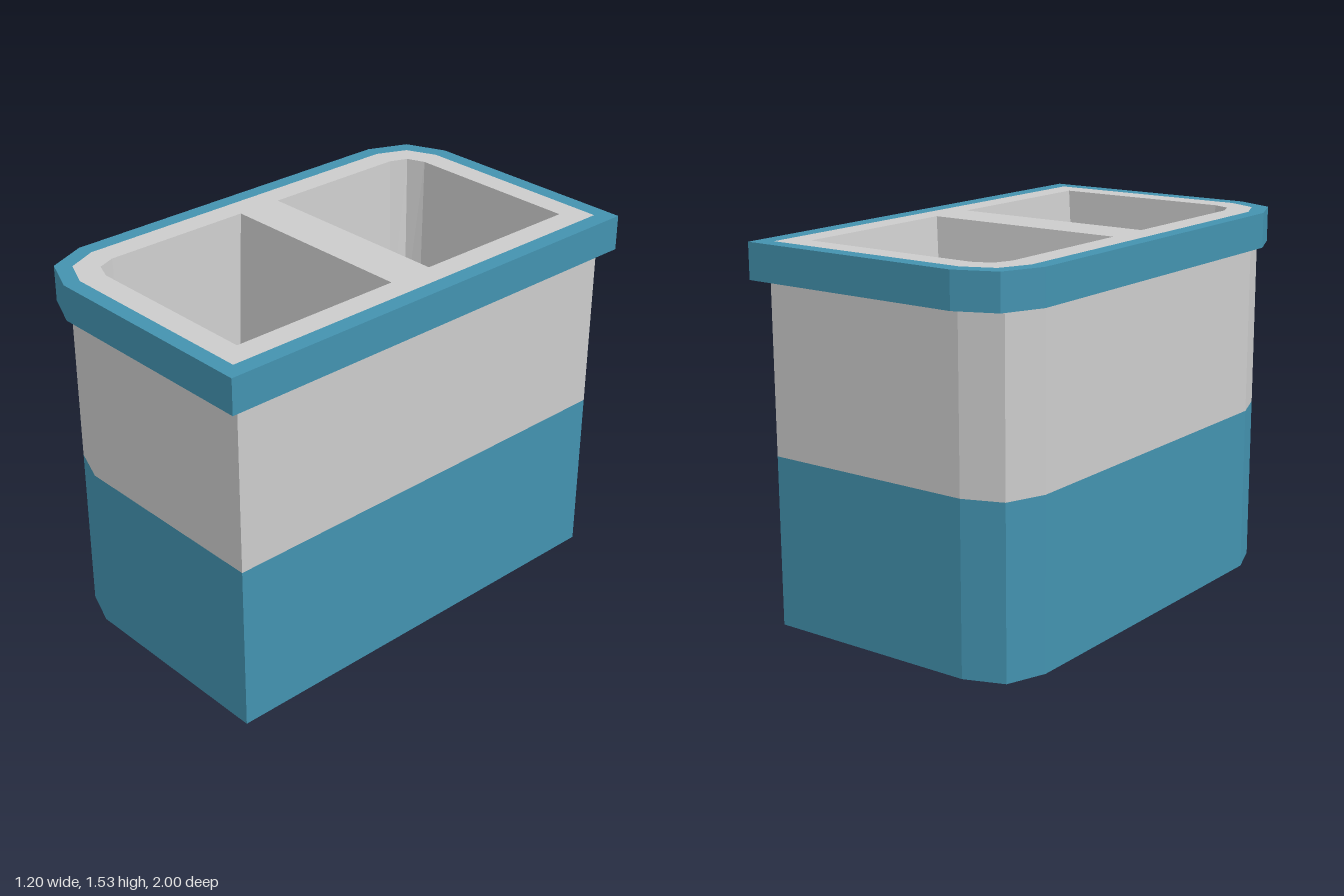
import * as THREE from 'three';

const grey = new THREE.MeshStandardMaterial({ color: 0xcccccc, flatShading: true });
const blue = new THREE.MeshStandardMaterial({ color: 0x4392af, flatShading: true });
const brown = new THREE.MeshStandardMaterial({ color: 0x5d544b, flatShading: true });

// Counter-clockwise (from above) outline, with the -x corners cut in two facets.
// a = where the cut starts along each side, b = inset of its middle point.
function outline(x0, x1, z0, z1, a, b, cutBack = true, cutFront = true) {
  const back = [[x0 + a, z0], [x0 + b, z0 + b], [x0, z0 + a]];
  const front = [[x0, z1 - a], [x0 + b, z1 - b], [x0 + a, z1]];
  return [
    [x1, z1], [x1, z0],
    ...(cutBack ? back : [[x0, z0]]),
    ...(cutFront ? front : [[x0, z1]]),
  ];
}

// Band of flat quads from loop p at height yp to loop q at height yq.
function band(p, yp, q, yq) {
  const pos = [];
  p.forEach((_, i) => {
    const j = (i + 1) % p.length;
    const A = [p[i][0], yp, p[i][1]], B = [p[j][0], yp, p[j][1]];
    const C = [q[j][0], yq, q[j][1]], D = [q[i][0], yq, q[i][1]];
    pos.push(...A, ...B, ...C, ...A, ...C, ...D);
  });
  const g = new THREE.BufferGeometry();
  g.setAttribute('position', new THREE.Float32BufferAttribute(pos, 3));
  g.computeVertexNormals();
  return g;
}

// Horizontal face, optionally with holes, facing up or down.
function plate(loop, y, holes = [], down = false) {
  const s = down ? 1 : -1;
  const toVec = (l) => l.map(([x, z]) => new THREE.Vector2(x, s * z));
  const shape = new THREE.Shape(toVec(loop));
  shape.holes = holes.map((h) => new THREE.Path(toVec(h)));
  return new THREE.ShapeGeometry(shape).rotateX(-s * -Math.PI / 2).translate(0, y, 0);
}

export function createModel() {
  const group = new THREE.Group();
  const add = (name, geometry, material) => {
    const mesh = new THREE.Mesh(geometry, material);
    mesh.name = name;
    group.add(mesh);
  };

  const midY = 0.695, lidY = 1.39, topY = 1.535, floorY = 0.83;
  const body = outline(-0.57, 0.55, -0.94, 0.94, 0.22, 0.06);
  const lid = outline(-0.6, 0.6, -1, 1, 0.235, 0.07);
  const inner = outline(-0.535, 0.53, -0.935, 0.935, 0.18, 0.055);

  // Body: coloured lower half, grey upper half
  add('base', plate(body, 0, [], true), blue);
  add('lowerBody', band(body, 0, body, midY), blue);
  add('upperBody', band(body, midY, body, lidY), grey);

  // Overhanging rim
  add('rimUnderside', band(body, lidY, lid, lidY), grey);
  add('rimSide', band(lid, lidY, lid, topY), blue);
  add('rimTop', band(lid, topY, inner, topY), blue);

  // Two tapered wells, each with cut corners at its outer end
  const wells = [
    {
      name: 'backWell',
      top: outline(-0.435, 0.43, -0.84, -0.1, 0.105, 0.03, true, false),
      floor: outline(-0.385, 0.34, -0.795, -0.18, 0.09, 0.022, true, false),
    },
    {
      name: 'frontWell',
      top: outline(-0.435, 0.43, 0.095, 0.835, 0.105, 0.03, false, true),
      floor: outline(-0.4, 0.365, 0.15, 0.8, 0.085, 0.022, false, true),
    },
  ];
  add('topPanel', plate(inner, topY, wells.map((w) => w.top)), grey);
  for (const w of wells) {
    add(w.name + 'Walls', band(w.top, topY, w.floor, floorY), grey);
    add(w.name + 'Floor', plate(w.floor, floorY), brown);
  }
  return group;
}
